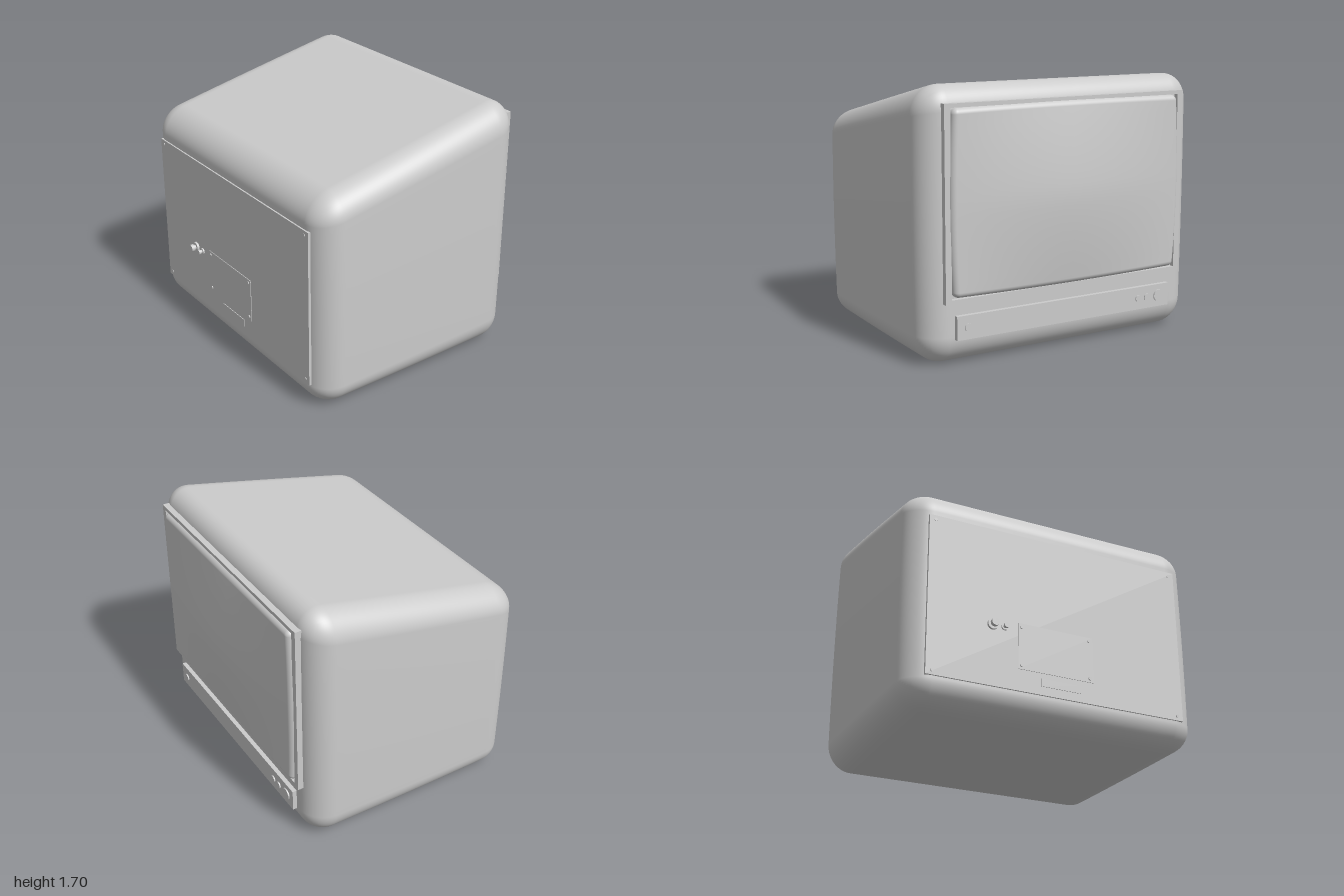
import * as THREE from 'three';
import { mergeVertices } from 'three/addons/utils/BufferGeometryUtils.js';

const material = new THREE.MeshStandardMaterial({ color: 0xcccccc });

// Smooth rounded box with a fine grid, reshaped by a rule on each vertex.
// The rule gets the point and its position relative to the half sizes (-1..1).
function softBox(half, r, segments, rule) {
  let geo = new THREE.BoxGeometry(2, 2, 2, segments, segments, segments);
  geo.deleteAttribute('uv');
  geo.deleteAttribute('normal');
  geo = mergeVertices(geo);
  const pos = geo.attributes.position;
  const p = new THREE.Vector3(), inner = new THREE.Vector3(), n = new THREE.Vector3();
  const spread = (t, h) => {
    const a = Math.abs(t), flat = 0.5, core = h - r;
    const d = a < flat ? core * a / flat : core + r * Math.tan((a - flat) / (1 - flat) * Math.PI / 4);
    return Math.sign(t) * d;
  };
  for (let i = 0; i < pos.count; i++) {
    p.fromBufferAttribute(pos, i);
    p.set(spread(p.x, half.x), spread(p.y, half.y), spread(p.z, half.z));
    const core = half.clone().subScalar(r);
    inner.copy(p).clamp(core.clone().negate(), core);
    p.sub(inner).normalize().multiplyScalar(r).add(inner);
    n.copy(p).divide(half);
    rule(p, n);
    pos.setXYZ(i, p.x, p.y, p.z);
  }
  geo.computeVertexNormals();
  return geo;
}

export function createModel() {
  const model = new THREE.Group();
  model.name = 'television';

  const add = (name, geo, x = 0, y = 0, z = 0) => {
    const mesh = new THREE.Mesh(geo, material);
    mesh.name = name;
    mesh.position.set(x, y, z);
    model.add(mesh);
    return mesh;
  };
  const slab = (name, x0, x1, y0, y1, z0, z1) =>
    add(name, new THREE.BoxGeometry(x1 - x0, y1 - y0, z1 - z0), (x0 + x1) / 2, (y0 + y1) / 2, (z0 + z1) / 2);
  // Round part lying along x
  const disc = (name, x0, x1, y, z, r, sides = 24) =>
    add(name, new THREE.CylinderGeometry(r, r, x1 - x0, sides).rotateZ(Math.PI / 2), (x0 + x1) / 2, y, z);

  // Cabinet: soft box with a top that slopes down to the back
  add('cabinet', softBox(new THREE.Vector3(0.765, 0.785, 1), 0.17, 32, (p, n) => {
    p.x -= 0.03;
    const top = 1.575 + 0.216 * p.x;
    p.y = 0.005 + (n.y + 1) / 2 * (top - 0.005);
    p.z *= 1 - 0.008 * (n.x * n.x + n.y * n.y);
  }));

  // Screen surround: rectangular ring
  const rect = (Type, w, y0, y1) => {
    const s = new Type();
    s.moveTo(-w, y0); s.lineTo(w, y0); s.lineTo(w, y1); s.lineTo(-w, y1); s.closePath();
    return s;
  };
  const ring = rect(THREE.Shape, 0.865, 0.405, 1.6);
  ring.holes.push(rect(THREE.Path, 0.825, 0.432, 1.575));
  add('screenFrame', new THREE.ExtrudeGeometry(ring, { depth: 0.045, bevelEnabled: false })
    .rotateY(Math.PI / 2), 0.722);

  // Screen: domed glass with slightly barrelled sides
  add('screen', softBox(new THREE.Vector3(0.045, 0.565, 0.812), 0.035, 32, (p, n) => {
    const dome = (1 - Math.abs(n.y) ** 1.5) * (1 - Math.abs(n.z) ** 1.5);
    if (p.x > 0) p.x += 0.063 * dome;
    p.z *= 1 + 0.028 * (1 - n.y * n.y);
    p.y *= 1 + 0.018 * (1 - n.z * n.z);
  }), 0.742, 1.006, 0);

  // Control strip with knobs
  slab('controlPanel', 0.69, 0.764, 0.175, 0.325, -0.79, 0.79);
  for (const [z, r] of [[0.715, 0.025], [-0.545, 0.022], [-0.615, 0.023], [-0.71, 0.04]]) {
    disc('knob', 0.75, 0.773, 0.25, z, r, 32);
  }

  // Rear cover, service panel and label plate
  slab('rearCover', -0.805, -0.74, 0.17, 1.22, -0.87, 0.87);
  slab('servicePanel', -0.809, -0.8, 0.31, 0.61, -0.28, 0.23);
  slab('labelPlate', -0.809, -0.8, 0.225, 0.275, -0.13, 0.14);

  // Screws
  for (const y of [0.335, 0.585]) {
    for (const z of [-0.26, 0.205]) disc('panelScrew', -0.815, -0.8, y, z, 0.011, 12);
  }
  for (const y of [0.2, 1.19]) {
    for (const z of [-0.83, 0.83]) disc('coverScrew', -0.809, -0.8, y, z, 0.011, 12);
  }

  // Sockets with collars
  disc('antennaCollar', -0.82, -0.8, 0.565, -0.45, 0.034);
  disc('antennaStem', -0.84, -0.8, 0.565, -0.45, 0.017);
  disc('antennaCap', -0.856, -0.833, 0.565, -0.45, 0.025);
  disc('jackCollar', -0.815, -0.8, 0.565, -0.37, 0.022);
  disc('jackStem', -0.835, -0.8, 0.565, -0.37, 0.012);
  disc('jackCap', -0.843, -0.828, 0.565, -0.37, 0.017);

  return model;
}
